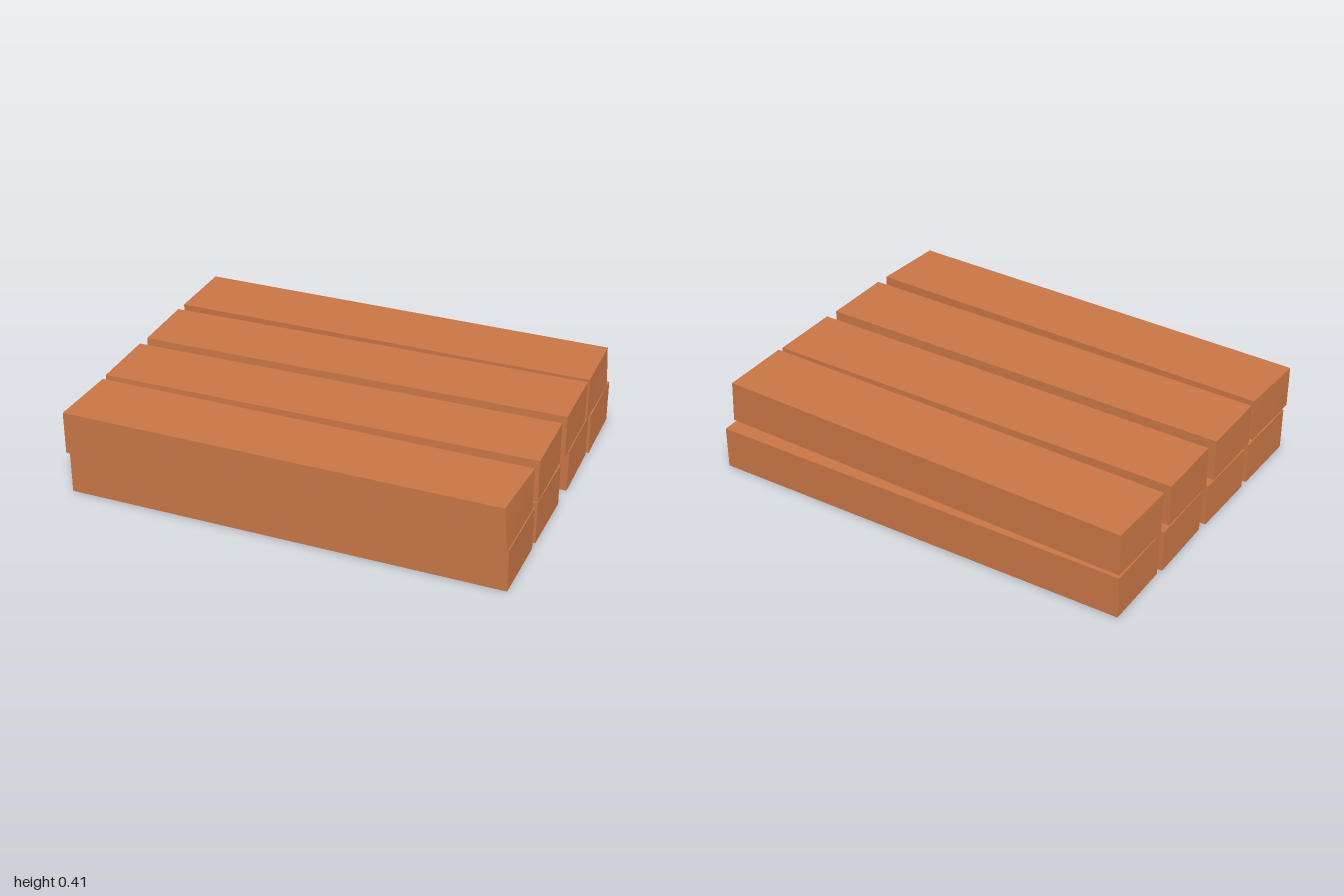
import * as THREE from 'three';

const wood = new THREE.MeshStandardMaterial({ color: 0xc87645 });
wood.name = 'orangeWood';

// Beam z extents: left-end back/front (x = -1) and right-end back/front (x = +1).
// nudges: [x sign, y sign, z sign, dx, dz] for a worn corner.
const lowerBeams = [
  { z: [0.405, 0.74, 0.405, 0.74] },
  { z: [0.03, 0.363, 0.03, 0.363] },
  { z: [-0.35, -0.015, -0.42, -0.088] },
  { z: [-0.71, -0.378, -0.768, -0.436] },
];
const upperBeams = [
  { z: [0.435, 0.768, 0.435, 0.768], nudges: [[1, 1, 1, -0.018, 0], [-1, 1, -1, 0.008, 0]] },
  { z: [0.073, 0.408, 0.04, 0.373], nudges: [[-1, 1, 1, 0, -0.009]] },
  { z: [-0.312, 0.018, -0.352, -0.02], nudges: [[-1, 1, 1, 0, -0.006]] },
  { z: [-0.705, -0.374, -0.705, -0.374], nudges: [[-1, 1, 1, 0, 0.008], [1, 1, -1, -0.01, 0]] },
];

// A box whose corners follow the skewed plan of the beam
function makeBeam({ z, nudges = [] }, y0, y1, name) {
  const geo = new THREE.BoxGeometry(2, 2, 2);
  const p = geo.attributes.position;
  const slope = (z[0] - z[2]) / 2;
  for (let i = 0; i < p.count; i++) {
    const sx = Math.sign(p.getX(i)), sy = Math.sign(p.getY(i)), sz = Math.sign(p.getZ(i));
    // ends stay square to the turned beam
    let x = sx * 0.997 + (sz * slope * 0.33) / 2;
    x = THREE.MathUtils.clamp(x, -1, 1);
    let zz = z[(sx > 0 ? 2 : 0) + (sz > 0 ? 1 : 0)];
    for (const [nx, ny, nz, dx, dz] of nudges) {
      if (nx === sx && ny === sy && nz === sz) { x += dx; zz += dz; }
    }
    p.setXYZ(i, x, sy > 0 ? y1 : y0, zz);
  }
  geo.computeVertexNormals();
  const mesh = new THREE.Mesh(geo, wood);
  mesh.name = name;
  return mesh;
}

export function createModel() {
  const model = new THREE.Group();
  model.name = 'beamStack';

  const lower = new THREE.Group();
  lower.name = 'lowerLayer';
  lowerBeams.forEach((b, i) => lower.add(makeBeam(b, 0, 0.199, `lowerBeam${i + 1}`)));

  const upper = new THREE.Group();
  upper.name = 'upperLayer';
  upperBeams.forEach((b, i) => upper.add(makeBeam(b, 0.21, 0.407, `upperBeam${i + 1}`)));

  model.add(lower, upper);
  return model;
}
